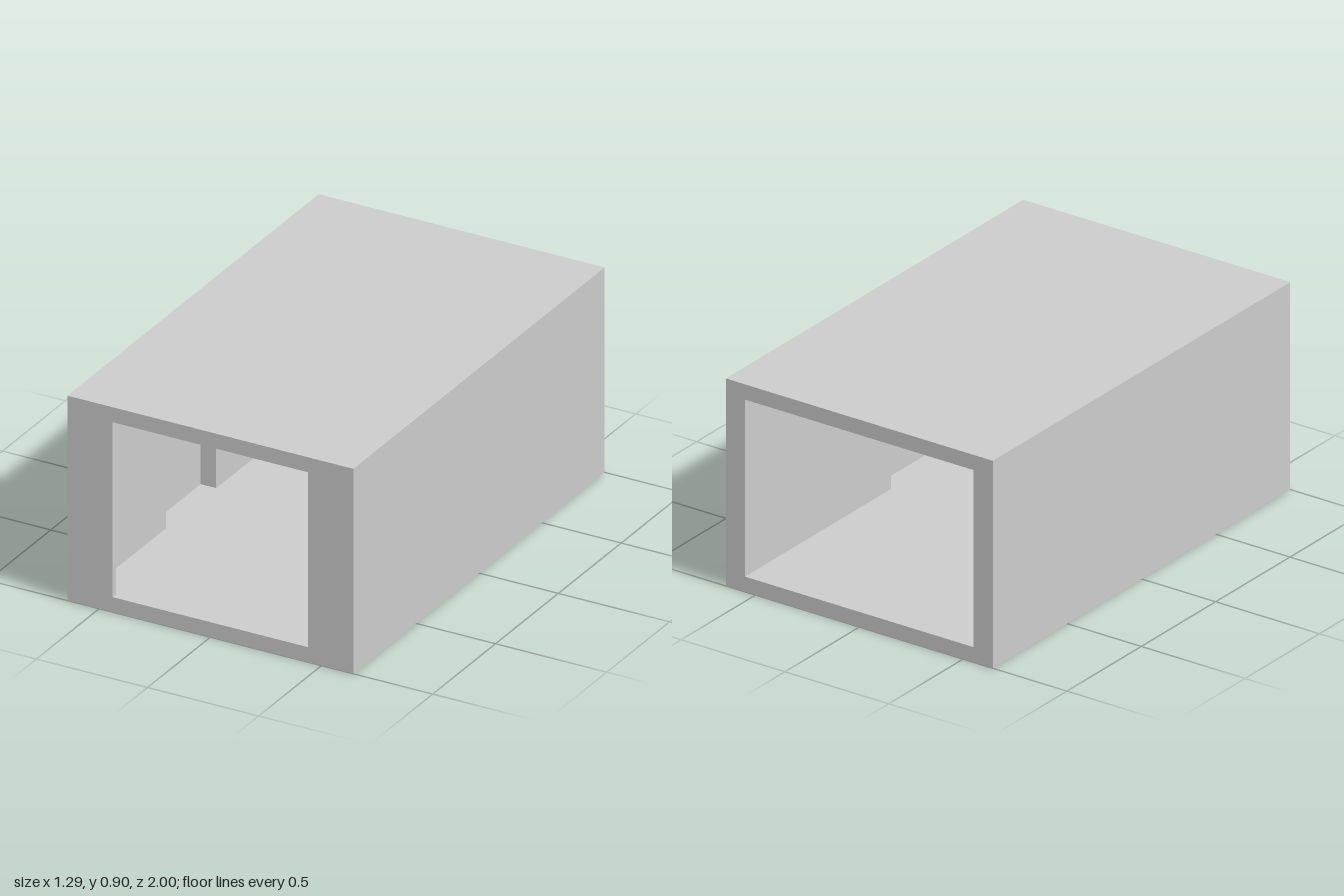
import * as THREE from 'three';

const W = 0.643, H = 0.9, L = 2, SLAB = 0.066;

export function createModel() {
  const group = new THREE.Group();
  const material = new THREE.MeshStandardMaterial({ color: 0xcccccc, flatShading: true });

  const add = (name, geometry, y) => {
    const mesh = new THREE.Mesh(geometry, material);
    mesh.name = name;
    mesh.position.y = y;
    group.add(mesh);
  };

  // Floor and roof slabs
  add('floor', new THREE.BoxGeometry(2 * W, SLAB, L), SLAB / 2);
  add('roof', new THREE.BoxGeometry(2 * W, SLAB, L), H - SLAB / 2);

  // Side wall plan (x, z): thin front jamb, main wall, and a shallow pocket midway
  const plan = [
    [W, 1], [0.44, 1], [0.44, 0.972], [0.55, 0.972],
    [0.55, 0.38], [0.62, 0.38], [0.62, -0.02], [0.55, -0.02],
    [0.55, -1], [W, -1],
  ];
  for (const [name, side] of [['leftWall', 1], ['rightWall', -1]]) {
    const shape = new THREE.Shape(plan.map(([x, z]) => new THREE.Vector2(side * x, -z)));
    const wall = new THREE.ExtrudeGeometry(shape, { depth: H - 2 * SLAB, bevelEnabled: false });
    wall.rotateX(-Math.PI / 2);
    add(name, wall, SLAB);
  }
  return group;
}
